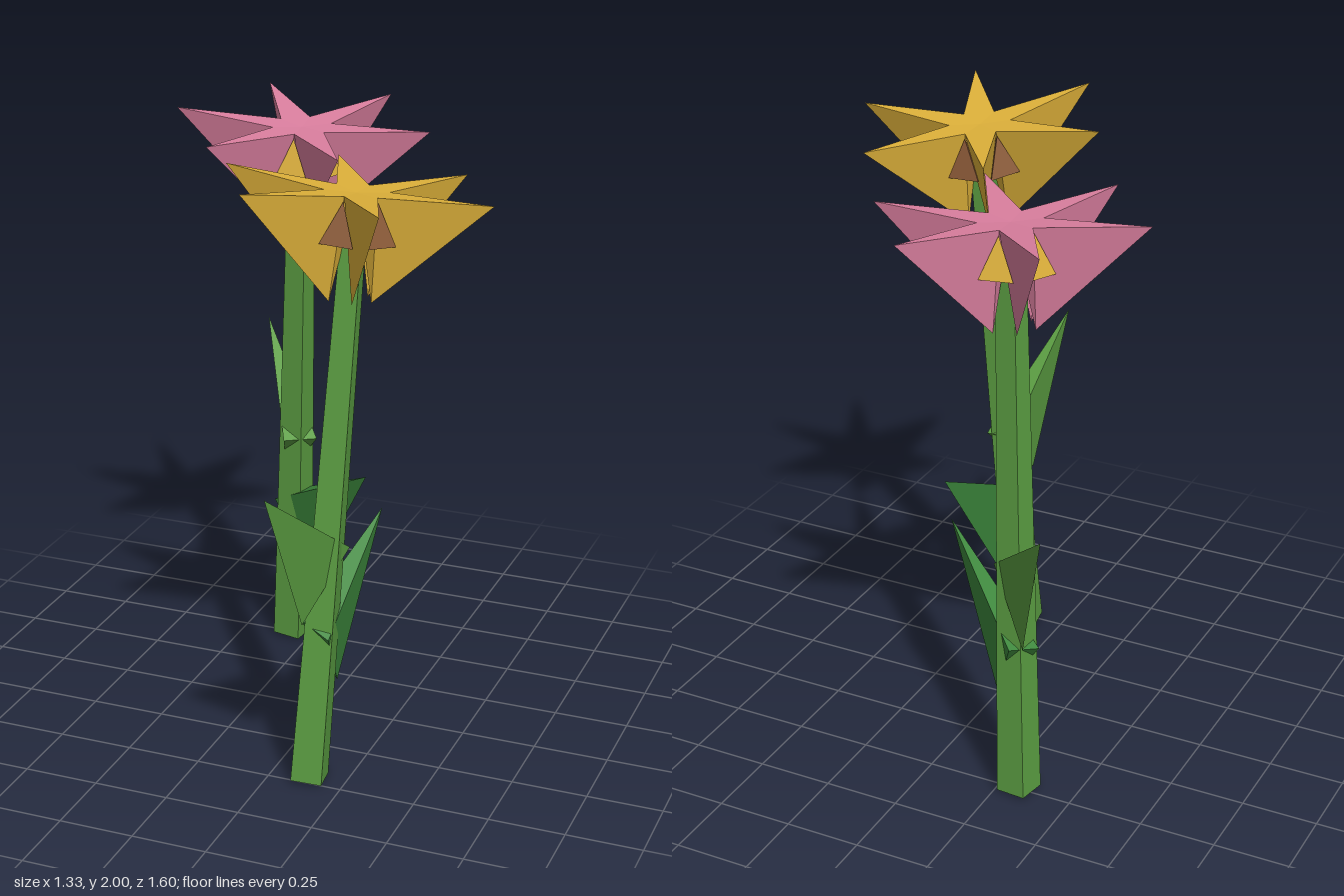
import * as THREE from 'three';
import { ConvexGeometry } from 'three/addons/geometries/ConvexGeometry.js';

const mat = (name, color) => {
  const m = new THREE.MeshStandardMaterial({ color });
  m.name = name;
  return m;
};

// Faceted solid spanned by a few corner points
function solid(name, points, material) {
  const mesh = new THREE.Mesh(new ConvexGeometry(points.map(p => new THREE.Vector3(...p))), material);
  mesh.name = name;
  return mesh;
}

// Point at a radius, angle and height around the flower axis
const polar = (r, a, y) => [r * Math.cos(a), y, -r * Math.sin(a)];

function flowerHead(petalMat, budMat) {
  const head = new THREE.Group();
  head.name = 'flowerHead';
  for (let i = 0; i < 6; i++) {
    const a = i * Math.PI / 3, b = a + Math.PI / 6;
    // Petal: flat on top, keeled underneath
    head.add(solid('petal', [
      [0, -0.025, 0], polar(0.1, a - Math.PI / 6, -0.02), polar(0.1, a + Math.PI / 6, -0.02),
      polar(0.434, a, 0), polar(0.075, a, -0.355),
    ], petalMat));
    // Small pointed bud in the gap between two petals
    const half = 0.38;
    head.add(solid('bud', [
      polar(0.148, b - half, -0.165), polar(0.148, b + half, -0.165),
      polar(0.02, b, -0.165), polar(0.105, b, -0.035),
    ], budMat));
  }
  return head;
}

function flower(name, spec, mats) {
  const group = new THREE.Group();
  group.name = name;
  const base = new THREE.Vector3(...spec.base), top = new THREE.Vector3(...spec.top);
  const axis = top.clone().sub(base).normalize();
  const tilt = new THREE.Quaternion().setFromUnitVectors(new THREE.Vector3(0, 1, 0), axis);
  const turned = deg => tilt.clone().multiply(
    new THREE.Quaternion().setFromAxisAngle(new THREE.Vector3(0, 1, 0), THREE.MathUtils.degToRad(deg)));

  // Square tapering stem
  const h = 1.8;
  let geo = new THREE.CylinderGeometry(0.047, 0.072, h, 4);
  geo.rotateY(Math.PI / 4);
  geo.translate(0, h / 2, 0);
  geo = geo.toNonIndexed();
  geo.computeVertexNormals();
  const stem = new THREE.Mesh(geo, mats.stem);
  stem.name = 'stem';
  stem.position.copy(base);
  stem.quaternion.copy(turned(spec.stemTurn));
  group.add(stem);

  const head = flowerHead(spec.petal, spec.bud);
  head.position.copy(top);
  head.quaternion.copy(turned(spec.headTurn));
  group.add(head);

  // Leaves run through the stem: tip, keel point and two inner corners
  group.add(solid('upperLeaf', spec.upperLeaf, mats.stem));
  group.add(solid('lowerLeaf', spec.lowerLeaf, mats.leaf));
  return group;
}

export function createModel() {
  const mats = {
    stem: mat('stem green', 0x5a9c41),
    leaf: mat('leaf green', 0x3d883c),
    pink: mat('petal pink', 0xdb7f9f),
    gold: mat('petal gold', 0xdeb13a),
    brown: mat('bud brown', 0x8c5b38),
  };
  const model = new THREE.Group();
  model.name = 'flowers';
  model.add(flower('pinkFlower', {
    base: [-0.32, 0.006, -0.5], top: [-0.239, 1.945, -0.406], stemTurn: -8, headTurn: 7,
    petal: mats.pink, bud: mats.gold,
    upperLeaf: [[-0.525, 1.1, -0.785], [-0.37, 0.58, -0.58], [-0.21, 0.79, -0.46], [-0.3, 0.8, -0.375]],
    lowerLeaf: [[0.06, 0.775, -0.23], [-0.2, 0.295, -0.415], [-0.375, 0.53, -0.47], [-0.31, 0.55, -0.555]],
  }, mats));
  model.add(flower('goldFlower', {
    base: [0.132, 0.006, 0.47], top: [0.225, 1.957, 0.304], stemTurn: 8, headTurn: -1.5,
    petal: mats.gold, bud: mats.brown,
    upperLeaf: [[0.12, 1.11, 0.795], [0.14, 0.59, 0.55], [0.225, 0.79, 0.355], [0.125, 0.8, 0.345]],
    lowerLeaf: [[0.2, 0.775, -0.01], [0.17, 0.295, 0.32], [0.1, 0.56, 0.46], [0.205, 0.52, 0.49]],
  }, mats));
  return model;
}
